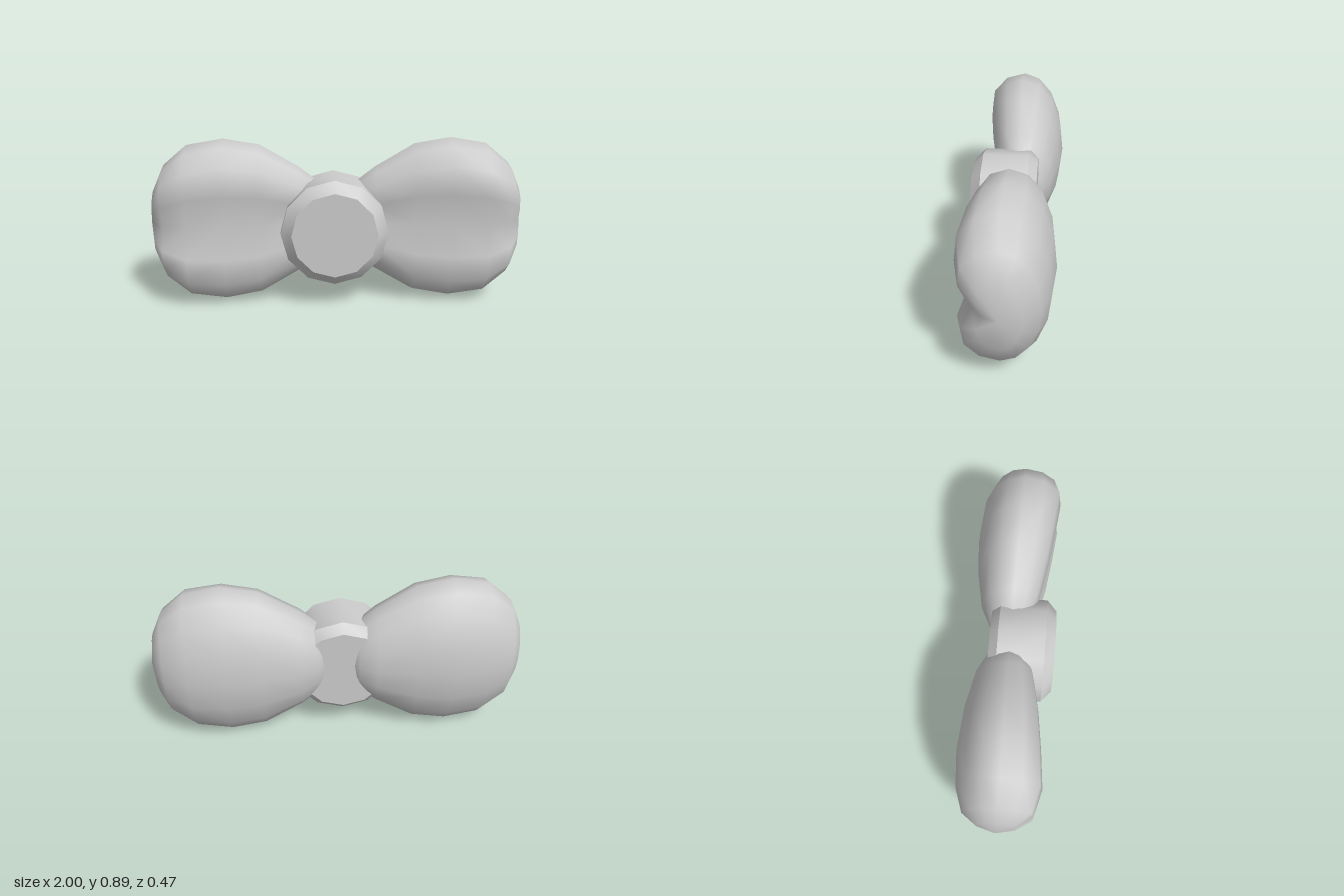
import * as THREE from 'three';
import { toCreasedNormals } from 'three/addons/utils/BufferGeometryUtils.js';

const material = new THREE.MeshStandardMaterial({ color: 0xcccccc });
const SIDES = 16;
const MID_Y = 0.443;

// Lobe stations from knot to tip: x, half height, back depth, front depth, centre z
const STATIONS = [
  [0.07, 0.14, 0.09, 0.06, -0.01],
  [0.11, 0.215, 0.135, 0.085, 0],
  [0.2, 0.285, 0.18, 0.13, 0],
  [0.41, 0.41, 0.225, 0.165, 0.005],
  [0.6, 0.443, 0.245, 0.185, 0.01],
  [0.79, 0.41, 0.23, 0.205, 0.01],
  [0.915, 0.305, 0.185, 0.175, 0.008],
  [0.97, 0.185, 0.105, 0.1, 0.004],
];
// Front swell from the middle crease out to the rim
const FRONT = [0.7, 1, 0.92, 0.53, 0];

function lobeGeometry(side) {
  const pos = [], index = [];
  for (const [x, halfY, back, front, z] of STATIONS) {
    for (let k = 0; k < SIDES; k++) {
      const a = (k / SIDES) * Math.PI * 2;
      const step = Math.min(k, SIDES - k);
      const depth = step <= 4 ? FRONT[step] * front : Math.cos(a) * back;
      pos.push(side * x, MID_Y + Math.sin(a) * halfY, z + depth);
    }
  }
  const tri = (a, b, c) => (side > 0 ? index.push(a, b, c) : index.push(a, c, b));
  const inner = STATIONS.length * SIDES, outer = inner + 1;
  pos.push(side * 0.04, MID_Y, -0.02, side, MID_Y, 0);
  const last = (STATIONS.length - 1) * SIDES;
  for (let k = 0; k < SIDES; k++) {
    const n = (k + 1) % SIDES;
    for (let r = 0; r < last; r += SIDES) {
      tri(r + k, r + SIDES + k, r + n);
      tri(r + n, r + SIDES + k, r + SIDES + n);
    }
    tri(inner, k, n);
    tri(outer, last + n, last + k);
  }
  const g = new THREE.BufferGeometry();
  g.setAttribute('position', new THREE.Float32BufferAttribute(pos, 3));
  g.setIndex(index);
  g.computeVertexNormals();
  return g;
}

// Twelve-sided knot with bevelled front and back rims, turned to face +z
function knotGeometry() {
  const profile = [[0, -0.11], [0.235, -0.11], [0.282, -0.065], [0.282, 0.18], [0.225, 0.232], [0, 0.232]]
    .map(([r, h]) => new THREE.Vector2(r, h));
  const g = new THREE.LatheGeometry(profile, 12);
  g.rotateX(Math.PI / 2);
  return toCreasedNormals(g, 0.6);
}

export function createModel() {
  const model = new THREE.Group();
  model.name = 'bowTie';
  const add = (name, geometry) => {
    const mesh = new THREE.Mesh(geometry, material);
    mesh.name = name;
    model.add(mesh);
    return mesh;
  };
  add('leftLobe', lobeGeometry(1));
  add('rightLobe', lobeGeometry(-1));
  add('knot', knotGeometry()).position.set(-0.02, 0.413, 0);
  return model;
}
